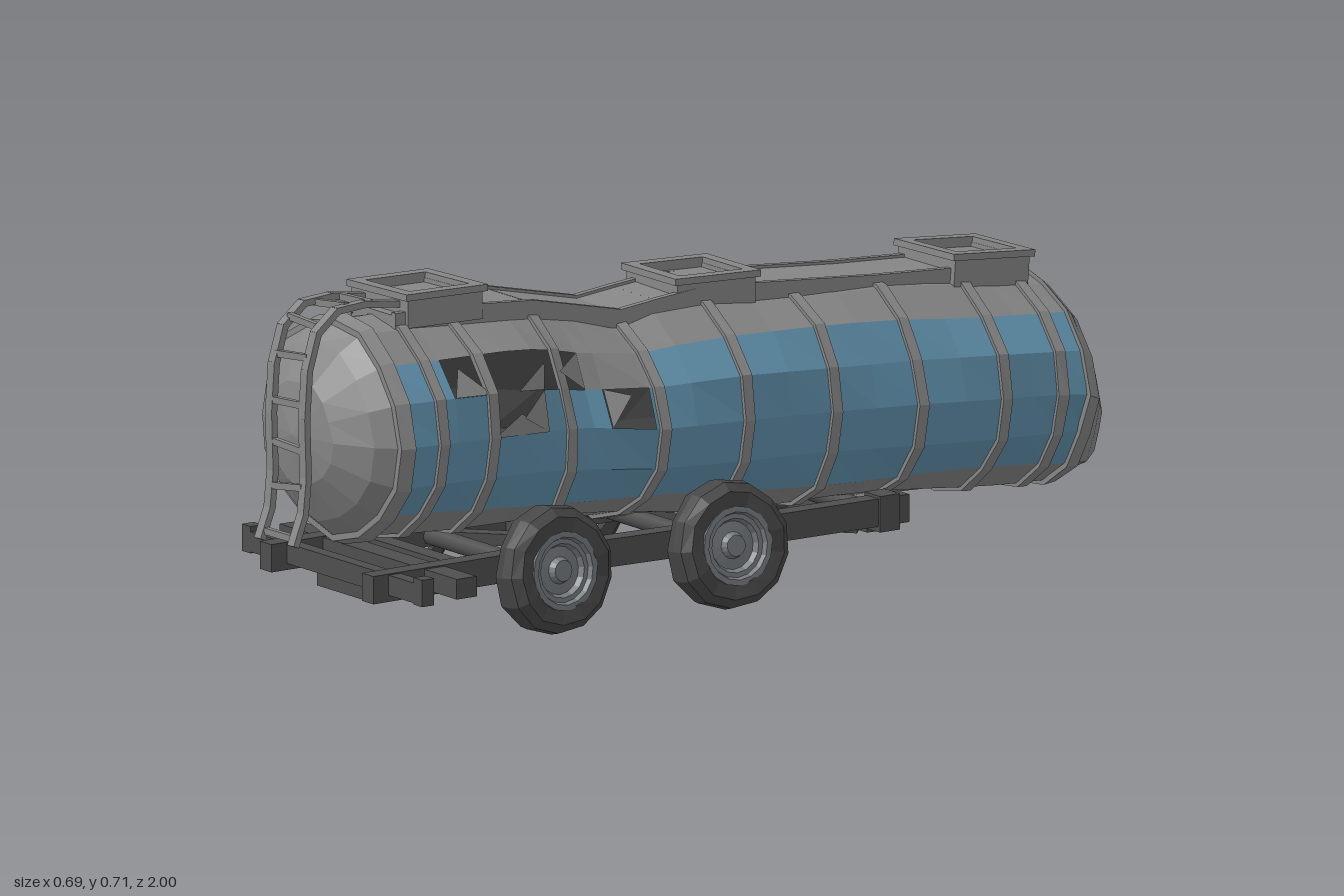
import * as THREE from 'three';
import { mergeGeometries } from 'three/addons/utils/BufferGeometryUtils.js';

const material = (name, color, side = THREE.FrontSide) => {
  const m = new THREE.MeshStandardMaterial({ color, side });
  m.name = name;
  return m;
};
const N = 16; // sides of the tank

// Tank stations: z, centre x, centre y, half width, half height
const stations = [
  [0.945, 0.012, 0.44, 0, 0], [0.925, 0.012, 0.44, 0.115, 0.11], [0.88, 0.012, 0.44, 0.195, 0.185],
  [0.83, 0.01, 0.438, 0.232, 0.226], [0.4, 0.008, 0.42, 0.235, 0.23], [0.18, 0.008, 0.393, 0.235, 0.218],
  [-0.03, 0.008, 0.383, 0.238, 0.232], [-0.46, 0.01, 0.36, 0.236, 0.23], [-0.88, 0.013, 0.327, 0.234, 0.221],
  [-0.93, 0.012, 0.288, 0.205, 0.17], [-0.98, 0.015, 0.256, 0.14, 0.11], [-1, 0.0, 0.255, 0, 0],
];
// Dents (negative depth bulges out): z, angle, reach along z, reach in angle, depth
const dents = [
  [0.12, 2.75, 0.13, 0.75, 0.07], [-0.4, 2.6, 0.13, 0.55, 0.05], [0.35, 0.5, 0.1, 0.6, 0.035],
  [0.2, 1.1, 0.08, 0.4, 0.025], [-0.95, 3.9, 0.04, 0.4, 0.025], [-0.95, 0.8, 0.04, 0.4, 0.025],
  [-0.87, 0, 0.05, 0.3, -0.02],
];

function tankPoint(z, i, off = 0) {
  let k = 0;
  while (k < stations.length - 2 && z < stations[k + 1][0]) k++;
  const [p, q] = [stations[k], stations[k + 1]];
  const t = THREE.MathUtils.clamp((p[0] - z) / (p[0] - q[0]), 0, 1);
  const [, cx, cy, rx, ry] = p.map((v, j) => THREE.MathUtils.lerp(v, q[j], t));
  const n = (i + N) % N, a = (n / N) * Math.PI * 2;
  const crumple = z < -0.9 ? 0.011 : 0.005;
  let d = off + crumple * Math.sin(z * 9 + n * 2.1);
  for (const [dz, da, wz, wa, depth] of dents) {
    d -= depth * Math.exp(-(((z - dz) / wz) ** 2) - ((a - da) / wa) ** 2);
  }
  d *= Math.min(1, rx * 8);
  return new THREE.Vector3(cx + Math.cos(a) * (rx + d), cy + Math.sin(a) * (ry + d), z);
}

function triangles(points) {
  const g = new THREE.BufferGeometry().setFromPoints(points);
  g.computeVertexNormals();
  return g;
}

// Skin between rows of [z, offset], keeping the cells that pass the test
function skin(rows, keep = () => true, inward = false) {
  const pts = [];
  for (let r = 0; r < rows.length - 1; r++) {
    for (let i = 0; i < N; i++) {
      if (!keep((rows[r][0] + rows[r + 1][0]) / 2, i)) continue;
      const [a, b] = [tankPoint(rows[r][0], i, rows[r][1]), tankPoint(rows[r][0], i + 1, rows[r][1])];
      const [d, c] = [tankPoint(rows[r + 1][0], i, rows[r + 1][1]), tankPoint(rows[r + 1][0], i + 1, rows[r + 1][1])];
      if (inward) pts.push(a, b, d, d, b, c);
      else pts.push(a, d, b, d, c, b);
    }
  }
  return triangles(pts);
}

// Straight bar of rectangular section between two points
function bar(a, b, w, h, extra = 0) {
  const o = new THREE.Object3D();
  const [p, q] = [new THREE.Vector3(...a), new THREE.Vector3(...b)];
  o.position.copy(p).lerp(q, 0.5);
  o.lookAt(q);
  o.updateMatrix();
  return new THREE.BoxGeometry(w, h, p.distanceTo(q) + extra).applyMatrix4(o.matrix);
}
const chain = (path, w, h) => path.slice(1).map((p, i) => bar(path[i], p, w, h, 0.006));
const block = (x, y, z, w, h, d) => new THREE.BoxGeometry(w, h, d).translate(x, y, z);

function lathe(profile, sides) {
  const g = new THREE.LatheGeometry(profile.map(p => new THREE.Vector2(...p)), sides).toNonIndexed();
  return g.rotateZ(-Math.PI / 2);
}
function flat(g) {
  g.computeVertexNormals();
  return g;
}

export function createModel() {
  const grey = material('weathered grey', 0x868686, THREE.DoubleSide);
  const blue = material('faded blue', 0x6090ab);
  const dark = material('frame grey', 0x4e4e4e);
  const rubber = material('tyre rubber', 0x464646);
  const steel = material('rim steel', 0x74797d);
  const model = new THREE.Group();
  const add = (name, geometry, mat, parent = model) => {
    const m = new THREE.Mesh(Array.isArray(geometry) ? mergeGeometries(geometry) : geometry, mat);
    m.name = name;
    parent.add(m);
    return m;
  };

  // Tank shell: grey top, belly and ends, blue flanks, torn openings
  const bands = [0.73, 0.6, 0.4, 0.18, -0.03, -0.25, -0.46, -0.67, -0.81];
  const zs = [...stations.map(s => s[0]), ...bands, 0.69, 0.53, 0.46, 0.34, 0.3, 0.2, 0.1, -0.14, -0.35, -0.57, -0.74];
  const rows = [...new Set(zs)].sort((a, b) => b - a).map(z => [z, 0]);
  const within = (z, a, b) => z > a && z < b;
  const torn = (z, i) => (i === 1 && within(z, 0.34, 0.69)) || (i === 0 && within(z, 0.46, 0.6)) ||
    (i === 0 && within(z, 0.2, 0.3)) || (i === 6 && within(z, -0.46, -0.35));
  const bare = (z, i) => (i === 6 && (within(z, -0.57, -0.14) || within(z, 0.1, 0.34))) ||
    (i === 7 && (within(z, -0.46, -0.25) || within(z, 0.18, 0.3))) || (i === 1 && within(z, 0.18, 0.34));
  const painted = (z, i) => within(z, -0.88, 0.83) && (i < 2 || i > 13 || (i > 5 && i < 10)) && !bare(z, i);
  add('tankShell', skin(rows, (z, i) => !torn(z, i) && !painted(z, i)), grey);
  add('tankPaint', skin(rows, (z, i) => !torn(z, i) && painted(z, i)), blue);
  add('tankInterior', skin(rows.map(([z]) => [z, -0.012]), (z, i) => !torn(z, i), true), dark);

  // Raised hoops round the tank
  const hoop = (z, w, t) => skin([[z + w, -0.004], [z + w, t], [z - w, t], [z - w, -0.004]]);
  add('tankHoops', bands.map(z => hoop(z, 0.012, 0.008)), grey);
  add('endHoops', [hoop(0.825, 0.016, 0.013), hoop(-0.88, 0.016, 0.01)], grey);

  // Bent metal flaps at the tears: two points on the skin and a tip [z, i, lift]
  const flaps = [
    [[0.53, 1], [0.46, 1], [0.45, 1.6, 0.01]], [[0.69, 1], [0.6, 1], [0.66, 1.7, 0.0]],
    [[0.46, 0], [0.46, 1], [0.53, 0.4, 0.01]], [[0.6, 0], [0.46, 0], [0.53, 0.5, 0.0]],
    [[0.34, 1], [0.34, 2], [0.41, 1.4, 0.01]], [[0.3, 0], [0.3, 1], [0.25, 0.8, 0.01]],
    [[-0.46, 6], [-0.35, 6], [-0.42, 7.1, 0.025]], [[-0.35, 6], [-0.35, 7], [-0.24, 6.6, 0.015]],
    [[-0.46, 7], [-0.35, 7], [-0.4, 8.7, 0.015]], [[-0.14, 7], [-0.25, 7], [-0.2, 8, 0.01]],
    [[0.3, 8], [0.18, 8], [0.24, 9, 0.006]],
  ];
  add('tornFlaps', triangles(flaps.flatMap(f => f.map(([z, i, lift = 0]) => tankPoint(z, i, lift + 0.003)))), grey);

  // Walkway with lips along the top
  const topY = z => tankPoint(z, 4).y;
  const run = (x, lift) => [0.74, 0.6, 0.4, 0.3, 0.18, 0.08, -0.03, -0.25, -0.46, -0.67, -0.82].map(z => [x, topY(z) + lift, z]);
  add('walkwayDeck', chain(run(0.008, 0), 0.15, 0.02), grey);
  add('walkwayLips', [-0.07, 0.086].flatMap(x => chain(run(x, -0.004), 0.014, 0.04)), grey);

  // Square hatches with a raised rim and a sunken floor
  const frame = (w, d, h, t, y) => [-1, 1].flatMap(s => [
    block(s * (w - t) / 2, y, 0, t, h, d), block(0, y, s * (d - t) / 2, w - 2 * t, h, t)]);
  const hatches = [[0.625, 0.003, 0.68, 0.03, 0.03], [-0.06, 0, 0.62, 0.03, -0.04], [-0.735, 0.008, 0.578, 0.09, 0.03]];
  hatches.forEach(([z, x, y, tilt, turn], k) => {
    const hatch = new THREE.Group();
    hatch.name = 'hatch' + (k + 1);
    hatch.position.set(x, y, z);
    hatch.rotation.set(-tilt, turn, 0.02);
    add('hatchBox', frame(0.19, 0.19, 0.06, 0.02, -0.008), grey, hatch);
    add('hatchRim', frame(0.202, 0.208, 0.014, 0.028, 0.027), grey, hatch);
    add('hatchFloor', block(0, 0.008, 0, 0.16, 0.01, 0.16), grey, hatch);
    model.add(hatch);
  });

  // Ladder over the front end, leaning a little to one side
  const ladder = new THREE.Group();
  ladder.name = 'ladder';
  ladder.position.set(0.014, 0.46, 0);
  ladder.rotation.z = 0.045;
  model.add(ladder);
  const rail = [[0.72, 0.23], [0.8, 0.24], [0.87, 0.235], [0.92, 0.195], [0.945, 0.12], [0.955, 0.02], [0.955, -0.1], [0.965, -0.175], [0.99, -0.235]];
  add('ladderRails', [-0.058, 0.058].flatMap(x => chain(rail.map(([z, y]) => [x, y, z]), 0.023, 0.014)), grey, ladder);
  const rungs = [[0.78, 0.238], [0.84, 0.237], [0.905, 0.208], [0.938, 0.143], [0.953, 0.048], [0.955, -0.042], [0.96, -0.125], [0.982, -0.222]];
  add('ladderRungs', rungs.map(([z, y], k) => block(0, 0, 0, 0.11, 0.014, 0.012).rotateZ(0.09 * Math.sin(k * 2.3)).translate(0, y, z)), grey, ladder);

  // Chassis rails, cross members and bracing
  const parts = [];
  for (const s of [-1, 1]) {
    parts.push(...chain([[s * 0.178, 0.14, 0.87], [s * 0.178, 0.142, 0.5], [s * 0.172, 0.134, 0.05], [s * 0.165, 0.13, -0.47]], 0.04, 0.058));
    parts.push(block(s * 0.165, 0.128, -0.42, 0.055, 0.075, 0.05), block(s * 0.3, 0.15, 0.82, 0.03, 0.056, 0.03));
    parts.push(bar([s * 0.165, 0.125, 0.42], [-s * 0.165, 0.125, 0.1], 0.035, 0.025));
    parts.push(bar([s * 0.165, 0.115, 0], [-s * 0.165, 0.105, -0.36], 0.035, 0.025));
  }
  for (const [y, z, w] of [[0.14, 0.62, 0.32], [0.13, 0.27, 0.32], [0.115, -0.18, 0.32], [0.095, -0.42, 0.28]]) {
    parts.push(block(0, y, z, w, 0.03, 0.04));
  }
  add('chassis', parts, dark);
  add('bumper', [block(0, 0.146, 0.82, 0.58, 0.042, 0.03), block(0, 0.122, 0.8, 0.16, 0.062, 0.03)], dark);
  add('crossBeam', block(0, 0.146, 0.72, 0.62, 0.042, 0.05), dark);
  add('sideBracket', block(-0.225, 0.15, 0.26, 0.07, 0.04, 0.12), dark);
  add('axles', [0.475, 0.045, -0.385].map((z, k) =>
    new THREE.CylinderGeometry(0.02, 0.02, k < 2 ? 0.54 : 0.44, 8).rotateZ(Math.PI / 2).translate(k < 2 ? 0 : -0.05, 0.135, z)), dark);

  // Wheels: worn tyre and stepped rim, leaning on bent axles
  const tyre = lathe([[0.07, -0.03], [0.08, -0.038], [0.112, -0.041], [0.13, -0.026], [0.134, 0], [0.13, 0.026],
    [0.112, 0.041], [0.08, 0.038], [0.07, 0.03], [0.07, -0.03]], 13);
  const p = tyre.attributes.position;
  for (let i = 0; i < p.count; i++) {
    const a = Math.atan2(p.getZ(i), p.getY(i)), k = 1 + 0.02 * Math.sin(a * 3 + 1);
    p.setXYZ(i, p.getX(i) * (1 + 0.12 * Math.sin(a * 4)), p.getY(i) * k, p.getZ(i) * k);
  }
  flat(tyre);
  const half = [[0, 0.034], [0.022, 0.034], [0.028, 0.02], [0.05, 0.018], [0.056, 0.03], [0.066, 0.03], [0.07, 0.041], [0.082, 0.041]];
  const rim = flat(lathe([...half.map(([r, y]) => [r, -y]), ...half.slice().reverse()], 16));
  const wheels = [
    [0.277, 0.146, 0.48, 0.1, 0.04], [0.283, 0.142, 0.05, 0.12, -0.06],
    [-0.277, 0.14, 0.47, -0.17, 0.05], [-0.273, 0.14, 0.04, -0.14, 0], [-0.27, 0.136, -0.39, -0.2, -0.2],
  ];
  wheels.forEach(([x, y, z, lean, turn], k) => {
    const wheel = new THREE.Group();
    wheel.name = 'wheel' + (k + 1);
    wheel.position.set(x, y, z);
    wheel.rotation.set(0, turn, lean);
    add('tyre', tyre, rubber, wheel);
    add('rim', rim, steel, wheel);
    model.add(wheel);
  });
  return model;
}
